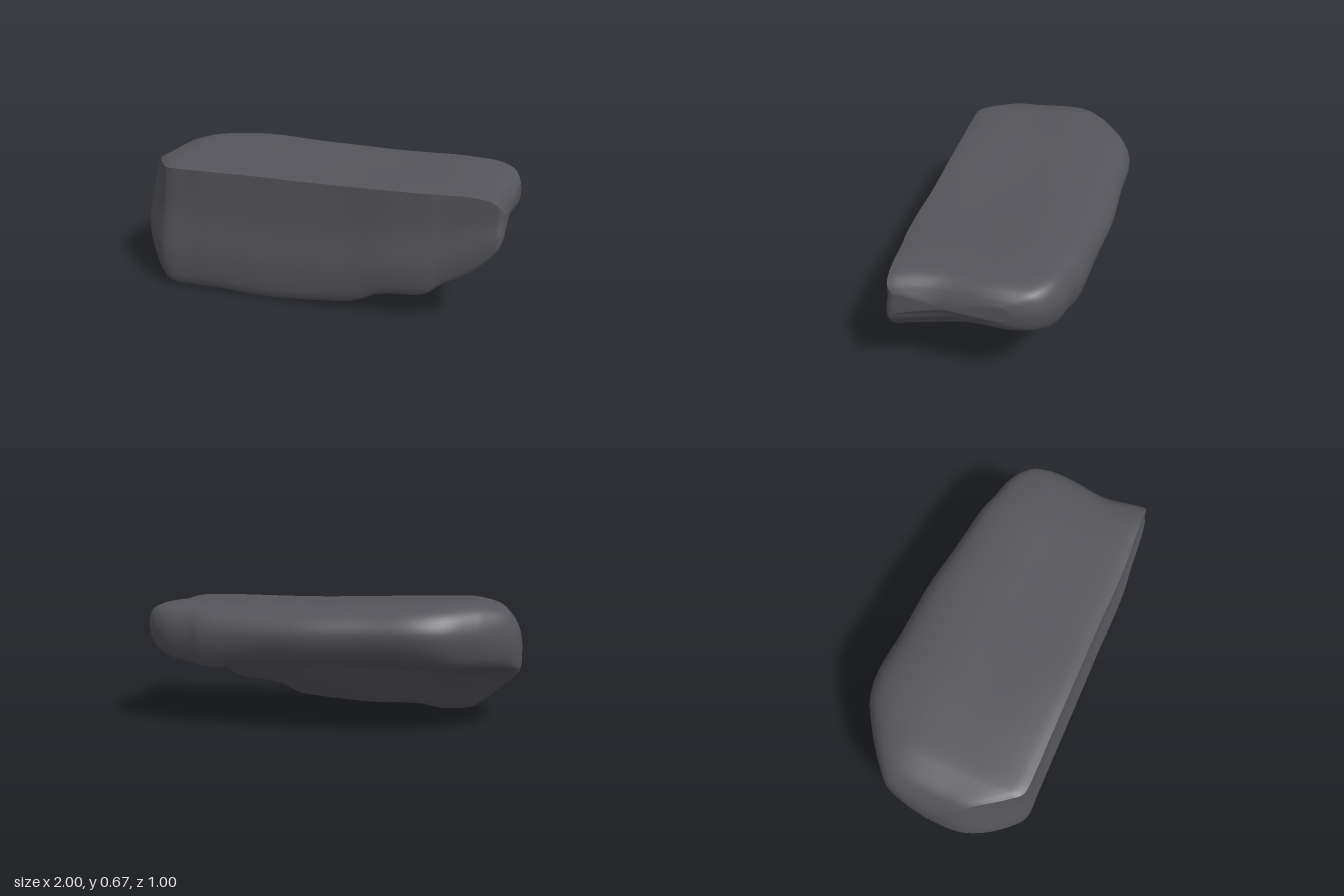
import * as THREE from 'three';

// Stations along x: x, front z, back z, top y, bottom y, foot depth (fraction), rear underside y, hollow (0 to 1)
const STATIONS = [
  [-1.0, 0.13, 0.0, 0.44, 0.28, 0.4, 0.32, 0],
  [-0.985, 0.2, -0.1, 0.51, 0.24, 0.4, 0.31, 0],
  [-0.95, 0.27, -0.21, 0.58, 0.2, 0.39, 0.31, 0],
  [-0.9, 0.335, -0.26, 0.63, 0.15, 0.38, 0.31, 0],
  [-0.79, 0.435, -0.35, 0.662, 0.05, 0.38, 0.31, 0],
  [-0.74, 0.455, -0.385, 0.667, 0.02, 0.38, 0.31, 0],
  [-0.6, 0.455, -0.47, 0.665, 0.01, 0.36, 0.32, 0.1],
  [-0.46, 0.455, -0.5, 0.662, 0.012, 0.25, 0.33, 0.5],
  [-0.2, 0.455, -0.485, 0.652, 0.003, 0.13, 0.335, 1],
  [0.1, 0.455, -0.475, 0.643, 0.025, 0.1, 0.33, 1],
  [0.28, 0.455, -0.45, 0.643, 0.05, 0.1, 0.325, 0.9],
  [0.42, 0.46, -0.43, 0.645, 0.11, 0.11, 0.32, 0.6],
  [0.64, 0.457, -0.4, 0.652, 0.14, 0.14, 0.31, 0.2],
  [0.71, 0.45, -0.375, 0.653, 0.19, 0.17, 0.32, 0.1],
  [0.85, 0.445, -0.335, 0.648, 0.27, 0.2, 0.35, 0],
  [0.94, 0.442, -0.27, 0.63, 0.35, 0.22, 0.4, 0],
  [0.98, 0.437, -0.2, 0.6, 0.4, 0.22, 0.44, 0],
  [1.0, 0.41, -0.12, 0.57, 0.45, 0.22, 0.48, 0],
];
const RING = 70;
const LENGTH = 96;

// Cross-section: starts and ends on the crisp upper front edge
function section([x, zf, zb, yt, yb, w, ub, hollow]) {
  const h = yt - yb;
  const at = (t, y, dz = 0) => new THREE.Vector3(x, y, zf + (zb - zf) * t + dz);
  const under = (k) => yb + (ub - yb) * k;
  const flare = Math.min(1, h / 0.5);
  const inset = -0.1 * THREE.MathUtils.smoothstep(-x, 0.7, 0.9);
  const edge = Math.min(yt - 0.01, 0.637);
  const foot = w + 0.13;
  const crease = THREE.MathUtils.lerp((foot + 0.85) / 2, foot + 0.17, hollow);
  const points = [
    at(0, edge, inset), at(0, yt - h * 0.4, 0.008 * flare + inset * 0.3), at(0, yb + h * 0.24, 0.036 * flare),
    at(0, yb, 0.015 * flare), at(0.06, yb + h * 0.02), at(w, yb + h * 0.06),
    at(foot, under(0.48)), at(crease, under(0.9 + 0.06 * hollow)), at(0.82, ub + hollow * 0.01),
    at(0.94, ub + h * 0.08),
    at(1, ub + (yt - ub) * 0.57), at(0.95, yt - h * 0.08), at(0.82, yt - 0.003),
    at(0.4, yt - 0.004), at(0.06, (edge + yt) / 2, inset), at(0, edge, inset),
  ];
  return new THREE.CatmullRomCurve3(points).getPoints(RING);
}

// Gentle uneven wear on the underside and rear, and a shallow dent in the tapered end
function weather(p) {
  const low = THREE.MathUtils.smoothstep(0.5 - p.y, 0, 0.25) * THREE.MathUtils.smoothstep(0.4 - p.z, 0, 0.2);
  p.y += low * 0.006 * Math.sin(p.x * 11 + p.z * 6) * Math.cos(p.z * 13 - p.x * 4);
  const end = THREE.MathUtils.smoothstep(p.x, 0.7, 1);
  p.x -= 0.04 * end * Math.exp(-(((p.z - 0.2) / 0.17) ** 2));
  return p;
}

function rockGeometry() {
  const rings = STATIONS.map(section);
  const positions = [];
  const index = [];
  const columns = [];
  for (let j = 0; j <= RING; j++) {
    columns.push(new THREE.CatmullRomCurve3(rings.map((r) => r[j])).getPoints(LENGTH).map(weather));
  }
  const row = RING + 1;
  for (let i = 0; i <= LENGTH; i++) {
    for (let j = 0; j <= RING; j++) positions.push(...columns[j][i].toArray());
  }
  for (let i = 0; i < LENGTH; i++) {
    for (let j = 0; j < RING; j++) {
      const a = i * row + j;
      const b = a + row;
      index.push(a, a + 1, b, b, a + 1, b + 1);
    }
  }
  // Close both ends
  for (const i of [0, LENGTH]) {
    const centre = new THREE.Vector3();
    for (let j = 0; j < RING; j++) centre.addScaledVector(columns[j][i], 1 / RING);
    const c = positions.length / 3;
    positions.push(...centre.toArray());
    for (let j = 0; j < RING; j++) {
      const a = i * row + j;
      if (i === 0) index.push(c, a + 1, a);
      else index.push(c, a, a + 1);
    }
  }
  const geometry = new THREE.BufferGeometry();
  geometry.setAttribute('position', new THREE.Float32BufferAttribute(positions, 3));
  geometry.setIndex(index);
  geometry.computeVertexNormals();
  return geometry;
}

export function createModel() {
  const group = new THREE.Group();
  group.name = 'rock';
  const stone = new THREE.MeshStandardMaterial({ color: 0x55545a });
  stone.name = 'dark grey stone';
  const boulder = new THREE.Mesh(rockGeometry(), stone);
  boulder.name = 'boulder';
  group.add(boulder);
  return group;
}
